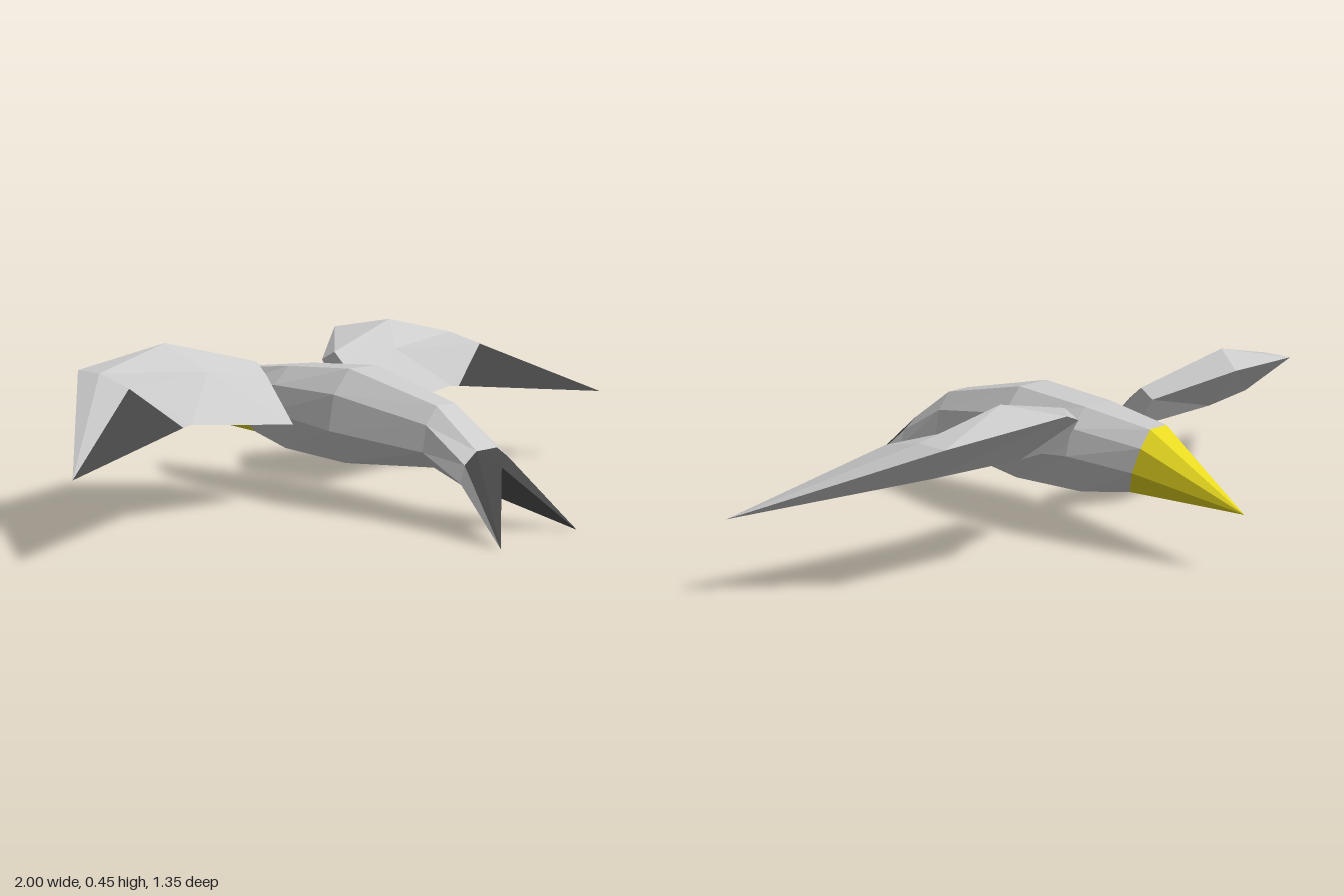
import * as THREE from 'three';

const GREY = 0xcccccc, DARK = 0x444444, YELLOW = 0xe6d820;

// Flat shaded mesh from convex polygons; mirrored in x for the right-hand copies
function facets(name, polygons, color, mirror = false) {
  const pos = [];
  for (const polygon of polygons) {
    const p = mirror ? polygon.map(([x, y, z]) => [-x, y, z]).reverse() : polygon;
    for (let i = 1; i < p.length - 1; i++) pos.push(...p[0], ...p[i], ...p[i + 1]);
  }
  const geometry = new THREE.BufferGeometry();
  geometry.setAttribute('position', new THREE.Float32BufferAttribute(pos, 3));
  geometry.computeVertexNormals();
  const material = new THREE.MeshStandardMaterial({ color, flatShading: true, side: THREE.DoubleSide });
  const mesh = new THREE.Mesh(geometry, material);
  mesh.name = name;
  return mesh;
}

const next = (ring, i) => ring[(i + 1) % ring.length];

// Skin between successive rings, as triangles so that twisted strips stay crisp
function loft(rings) {
  const out = [];
  for (let s = 0; s < rings.length - 1; s++) {
    rings[s].forEach((a, i) => {
      const b = rings[s + 1][i];
      out.push([a, b, next(rings[s + 1], i)], [a, next(rings[s + 1], i), next(rings[s], i)]);
    });
  }
  return out;
}

// Sides of a cone from a ring to a point
const cone = (ring, tip) => ring.map((a, i) => [a, tip, next(ring, i)]);

// Eight-sided body section, clockwise from the upper left
function bodyRing([z, w, top, mid, bottom, shift = 0]) {
  const half = [
    [0.4 * w, top, z],
    [0.85 * w, mid + 0.6 * (top - mid), z],
    [w, mid, z + shift * 0.3],
    [0.5 * w, bottom, z + shift],
  ];
  return [...half, ...half.map(([x, y, d]) => [-x, y, d]).reverse()];
}

export function createModel() {
  const bird = new THREE.Group();
  bird.name = 'bird';

  // Body: z, half width, top, widest height, bottom, shift of the bottom
  const rings = [
    [-0.39, 0.08, 0.335, 0.225, 0.157, 0.06],
    [-0.18, 0.122, 0.36, 0.24, 0.13],
    [0.06, 0.13, 0.375, 0.215, 0.12],
    [0.36, 0.088, 0.305, 0.19, 0.145],
    [0.5, 0.1, 0.205, 0.13, 0.1],
  ].map(bodyRing);
  bird.add(facets('body', loft(rings), GREY));

  // Beak
  const beakTip = [0, 0.163, -0.675];
  bird.add(facets('beak', rings[0].map((a, i) => [beakTip, a, next(rings[0], i)]), YELLOW));

  // Forked tail
  const end = rings[rings.length - 1];
  const topNotch = [0, 0.165, 0.55], lowNotch = [0, 0.09, 0.52];
  const prong = cone([...end.slice(0, 4), lowNotch, topNotch], [0.15, 0, 0.675]);
  bird.add(facets('tailNotchTop', [[end[7], topNotch, end[0]]], DARK));
  bird.add(facets('tailNotchUnderside', [[end[3], lowNotch, end[4]]], GREY));

  // Wing sections: leading edge, underside, trailing edge, aft top, ridge
  const wing = [
    [[0.145, 0.355, -0.245], [0.145, 0.27, -0.19], [0.165, 0.225, -0.04], [0.15, 0.345, -0.16], [0.15, 0.38, -0.2]],
    [[0.33, 0.425, -0.38], [0.37, 0.3, -0.26], [0.5, 0.26, -0.065], [0.36, 0.375, -0.16], [0.43, 0.45, -0.25]],
    [[0.67, 0.395, -0.31], [0.61, 0.29, -0.2], [0.53, 0.257, -0.06], [0.67, 0.368, -0.1], [0.67, 0.395, -0.22]],
  ];
  const wingEnd = wing[2];
  const tipFaces = cone(wingEnd, [1, 0.21, 0.105]);

  for (const [side, mirror] of [['left', false], ['right', true]]) {
    const tail = new THREE.Group();
    tail.name = side + 'TailProng';
    tail.add(facets('tailSides', prong.slice(1, 4), GREY, mirror));
    tail.add(facets('tailTop', [prong[0], prong[4], prong[5]], DARK, mirror));

    const wingGroup = new THREE.Group();
    wingGroup.name = side + 'Wing';
    const grey = [wing[0], ...loft(wing), ...tipFaces.filter((_, i) => i !== 2)];
    wingGroup.add(facets('wing', grey, GREY, mirror));
    wingGroup.add(facets('wingTipTrailingEdge', [tipFaces[2]], DARK, mirror));
    bird.add(tail, wingGroup);
  }
  return bird;
}
